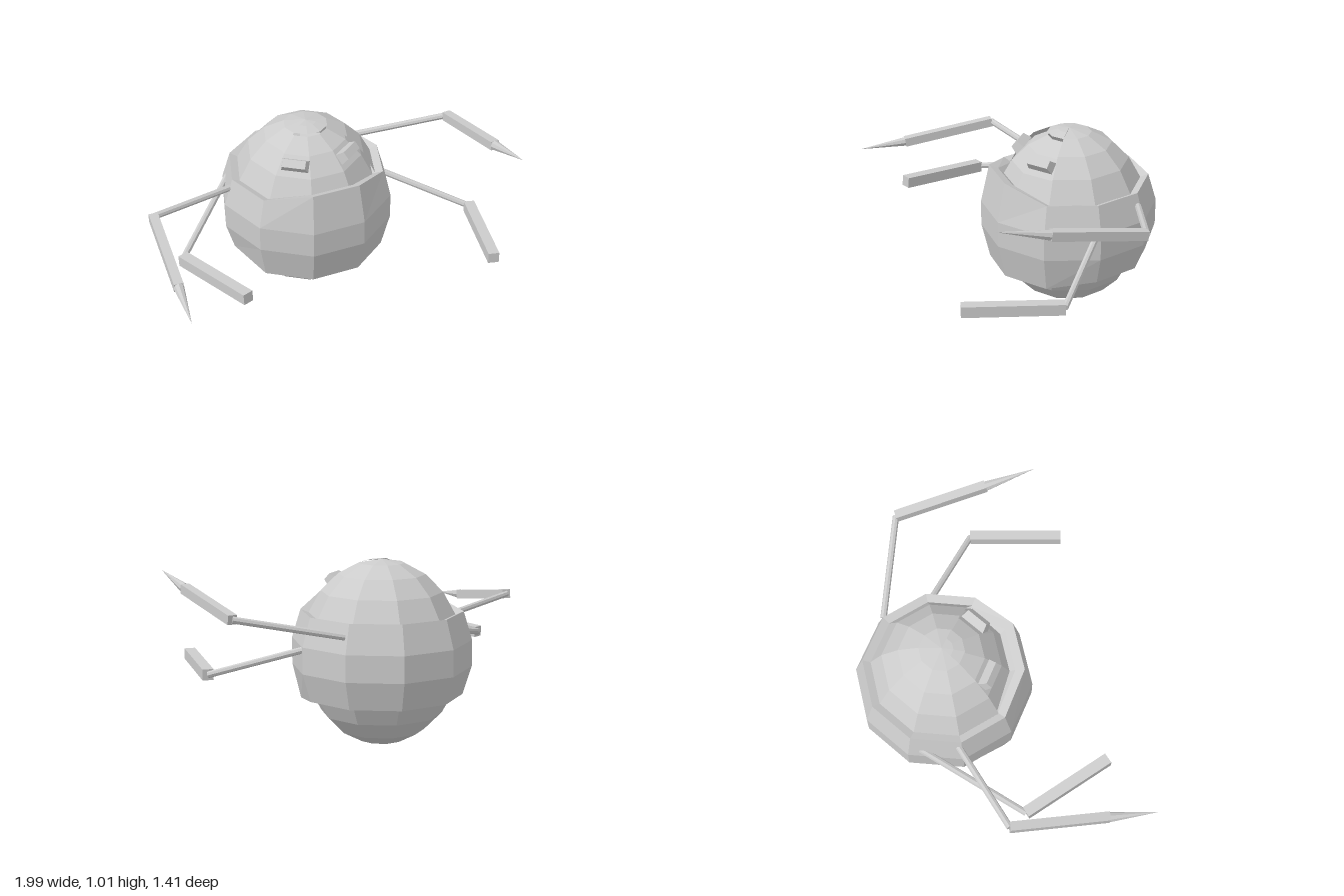
import * as THREE from 'three';

const mat = new THREE.MeshStandardMaterial({ color: 0xcccccc, flatShading: true, side: THREE.DoubleSide });
const STEP = Math.PI / 5;        // ten-sided body
const ROW = Math.PI / 11;        // eleven rows from pole to pole
const CENTRE = new THREE.Vector3(0.02, 0.51, -0.245);

function add(parent, name, geometry) {
  const mesh = new THREE.Mesh(geometry, mat);
  mesh.name = name;
  parent.add(mesh);
  return mesh;
}

// Patch of the ten-sided egg, given in whole sectors and rows
function eggPatch(sector, sectors, row, rows, scale = 1) {
  return new THREE.SphereGeometry(1, sectors, rows, sector * STEP, sectors * STEP, row * ROW, rows * ROW)
    .scale(0.435 * scale, 0.505 * scale, 0.435 * scale);
}

// Thick belt whose rim rises at the front and dips at the lower front
function beltGeometry() {
  const pos = [], index = [];
  for (let i = 0; i < 10; i++) {
    const front = i === 2 || i === 3;
    const top = front ? 0.80 : 0.737;
    const bottom = i >= 1 && i <= 4 ? 0.245 : 0.284;
    const profile = [
      [0.35, bottom + 0.05], [0.385, bottom + 0.015], [0.44, bottom], [0.487, 0.438],
      [0.487, 0.582], [0.44, top], [0.39, top - 0.02], [0.34, top - 0.07],
    ];
    for (const [r, y] of profile) pos.push(r * Math.cos(i * STEP), y - CENTRE.y, r * Math.sin(i * STEP));
    const a = i * 8, b = ((i + 1) % 10) * 8;
    for (let j = 0; j < 7; j++) index.push(a + j, a + j + 1, b + j, b + j, a + j + 1, b + j + 1);
  }
  const g = new THREE.BufferGeometry();
  g.setAttribute('position', new THREE.Float32BufferAttribute(pos, 3));
  g.setIndex(index);
  g.computeVertexNormals();
  return g;
}

// Bar running from a to b: square box, or round with end radii
function bar(parent, name, a, b, makeGeometry) {
  const p = new THREE.Vector3(...a), q = new THREE.Vector3(...b);
  const mesh = add(parent, name, makeGeometry(p.distanceTo(q)));
  mesh.position.copy(p).add(q).multiplyScalar(0.5);
  mesh.up.set(0, 1, 0);
  mesh.lookAt(q);
  return mesh;
}
const square = (w) => (len) => new THREE.BoxGeometry(w, w, len);
const round = (r0, r1) => (len) => new THREE.CylinderGeometry(r1, r0, len, 8).rotateX(Math.PI / 2);

function arm(name, { shoulder, elbow, wrist, tip }) {
  const g = new THREE.Group();
  g.name = name;
  bar(g, 'upperArm', shoulder, elbow, round(0.018, 0.018));
  bar(g, 'forearm', elbow, wrist, square(tip ? 0.05 : 0.06));
  if (tip) bar(g, 'spike', wrist, tip, round(0.028, 0));
  return g;
}

// Narrow bevelled eye block, smaller at its outer face
function eyeGeometry() {
  const g = new THREE.BoxGeometry(0.15, 0.065, 0.05);
  const p = g.attributes.position;
  for (let i = 0; i < p.count; i++) {
    if (p.getZ(i) > 0) p.setXY(i, p.getX(i) * 0.85, p.getY(i) * 0.7);
  }
  g.computeVertexNormals();
  return g;
}

export function createModel() {
  const model = new THREE.Group();
  model.name = 'model';

  // Body: hood with a three-sector face opening, recessed face, belt
  const body = new THREE.Group();
  body.name = 'body';
  body.position.copy(CENTRE);
  model.add(body);
  add(body, 'hoodBack', eggPatch(4, 7, 0, 11));
  add(body, 'hoodBrow', eggPatch(1, 3, 0, 1));
  add(body, 'lowerFront', eggPatch(1, 3, 5, 6));
  add(body, 'face', eggPatch(0, 10, 1, 5, 0.96));
  add(body, 'belt', beltGeometry());

  // Eyes, mirrored on the facets beside the middle of the face
  for (const side of [1, -1]) {
    const eye = add(body, side > 0 ? 'leftEye' : 'rightEye', eyeGeometry());
    eye.rotation.set(-0.72, side * Math.PI / 5, 0, 'YXZ');
    eye.position.set(side * 0.16, 0.385, 0.225);
  }

  // Four arms, each in its own pose
  model.add(
    arm('leftSpikeArm', {
      shoulder: [0.40, 0.67, -0.50], elbow: [0.94, 0.78, -0.31],
      wrist: [0.963, 0.87, 0.21], tip: [0.973, 0.935, 0.49],
    }),
    arm('leftBluntArm', {
      shoulder: [0.46, 0.575, -0.245], elbow: [0.89, 0.415, 0.10], wrist: [0.765, 0.428, 0.61],
    }),
    arm('rightSpikeArm', {
      shoulder: [-0.39, 0.675, -0.27], elbow: [-0.922, 0.725, -0.10],
      wrist: [-0.968, 0.645, 0.43], tip: [-0.995, 0.62, 0.70],
    }),
    arm('rightBluntArm', {
      shoulder: [-0.37, 0.62, -0.46], elbow: [-0.81, 0.495, 0.02], wrist: [-0.63, 0.535, 0.52],
    }),
  );
  return model;
}
